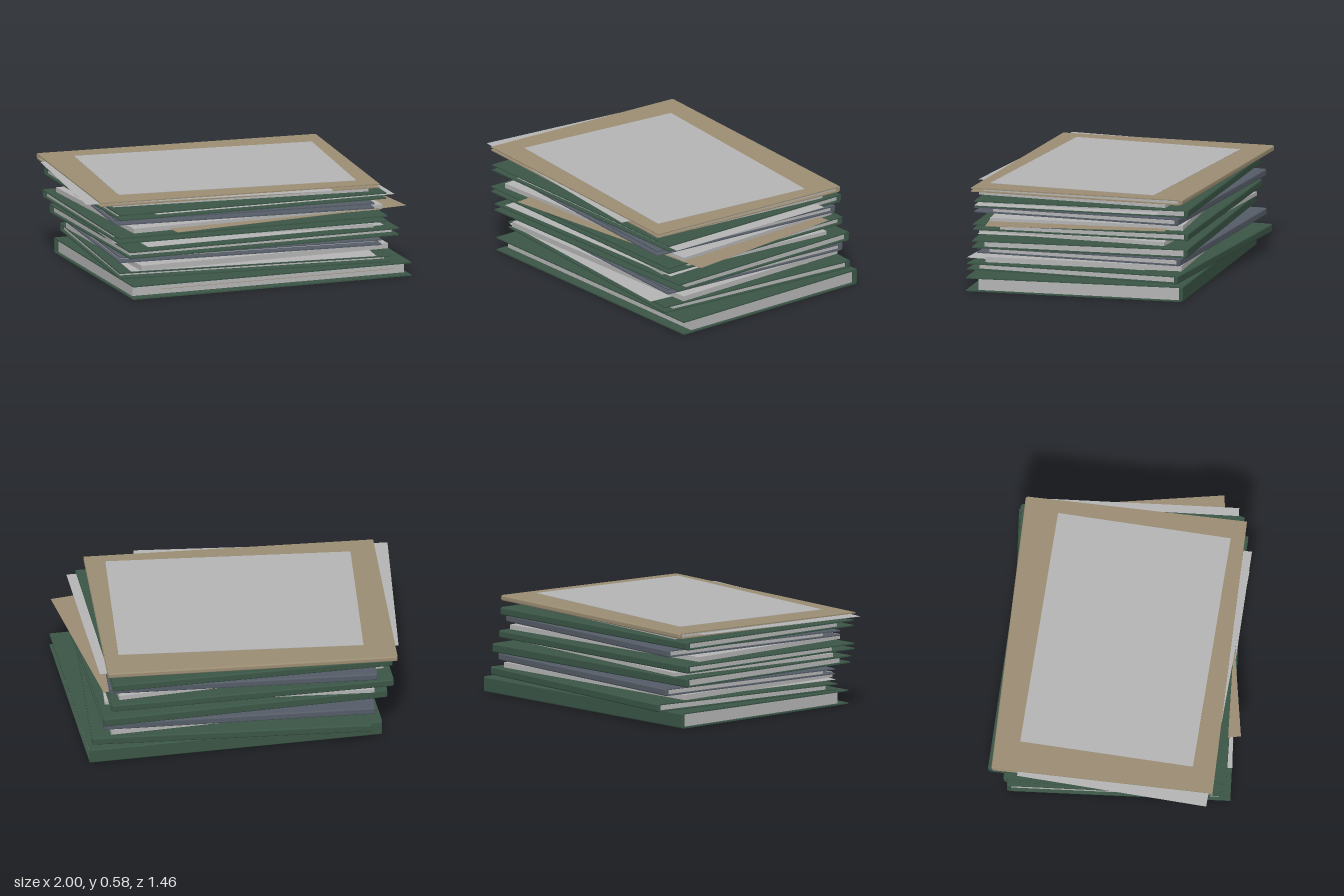
import * as THREE from 'three';
import { RoundedBoxGeometry } from 'three/addons/geometries/RoundedBoxGeometry.js';

const mat = (name, color) => new THREE.MeshStandardMaterial({ name, color });

export function createModel() {
  const green = mat('green board', 0x3a5546);
  const slate = mat('slate board', 0x555c67);
  const tan = mat('tan card', 0x9b8d73);
  const paper = mat('grey paper', 0xb4b4b4);

  const model = new THREE.Group();
  model.name = 'documentStack';

  const add = (parent, name, geometry, material, x, y, z) => {
    const mesh = new THREE.Mesh(geometry, material);
    mesh.name = name;
    mesh.position.set(x, y, z);
    parent.add(mesh);
    return mesh;
  };
  const box = (w, h, d) => new THREE.BoxGeometry(w, h, d);

  // Folder: two covers, a rounded spine at the back and a block of pages
  const folder = (name, material, y0, y1, w, d, x, z, turn, recess = 0.07) => {
    const group = new THREE.Group();
    group.name = name;
    group.position.set(x, 0, z);
    group.rotation.y = turn;
    const t = 0.007, h = y1 - y0, spine = 0.025;
    add(group, 'bottomCover', box(w, t, d - 0.012), material, 0, y0 + t / 2, 0.006);
    const top = add(group, 'topCover', box(w, t, d - 0.012), material, 0, y1 - t / 2 - 0.004, 0.006);
    top.rotation.x = 0.006; // the cover sags towards its open edge
    add(group, 'spine', new RoundedBoxGeometry(w, h, spine, 2, 0.009), material,
      0, y0 + h / 2, -d / 2 + spine / 2);
    const pageDepth = d - recess - spine + 0.005, pageHeight = h - 2 * t - 0.006;
    add(group, 'pages', box(w - 0.04, pageHeight, pageDepth), paper,
      0, y0 + t + pageHeight / 2, (spine - 0.005 - recess) / 2);
    model.add(group);
  };

  // Loose bundle of pages
  const bundle = (name, y0, y1, w, d, x, z, turn) => {
    add(model, name, box(w, y1 - y0, d), paper, x, (y0 + y1) / 2, z).rotation.y = turn;
  };

  // Single sheet sticking out of the stack
  const sheet = (name, material, y, w, d, x, z, turn) => {
    add(model, name, box(w, 0.002, d), material, x, y, z).rotation.y = turn;
  };

  // The stack, from bottom to top
  folder('thickBinder', green, 0, 0.09, 1.736, 1.306, 0.096, 0.007, 0.034);
  folder('greenFolderLow', green, 0.1, 0.147, 1.64, 1.305, 0.065, -0.035, -0.058);
  bundle('pageBundleLow', 0.155, 0.186, 1.55, 1.175, 0.065, 0, 0.053);
  folder('slateFolderLow', slate, 0.194, 0.236, 1.595, 1.25, 0.035, -0.04, -0.037);
  folder('greenFolderMiddle', green, 0.245, 0.297, 1.685, 1.295, 0.045, 0.005, 0.045);
  bundle('pageBundleMiddle', 0.305, 0.327, 1.58, 1.15, 0.007, -0.008, -0.065);
  folder('greenFolderUpper', green, 0.336, 0.38, 1.67, 1.3, -0.01, 0, 0.023, 0.16);
  bundle('pageBundleUpper', 0.387, 0.415, 1.58, 1.15, 0.015, 0.01, 0.075);
  folder('slateFolderUpper', slate, 0.424, 0.465, 1.57, 1.26, 0, -0.02, -0.05, 0.11);
  folder('greenFolderTop', green, 0.472, 0.517, 1.655, 1.29, -0.01, 0, 0.025, 0.11);
  bundle('pageBundleTop', 0.525, 0.542, 1.545, 1.155, -0.01, 0, -0.065);
  folder('tanFolder', tan, 0.55, 0.582, 1.7, 1.3, -0.046, -0.02, -0.037);

  // Loose sheets between the folders
  sheet('dividerCard', tan, 0.035, 1.45, 1.1, 0.155, 0.042, 0.034);
  sheet('looseSheetLow', paper, 0.151, 1.485, 1.1, 0.04, 0.1, -0.06);
  sheet('looseSheetMiddle', paper, 0.312, 1.485, 1.1, 0.05, 0.1, 0.06);
  sheet('looseTanCard', tan, 0.395, 1.5, 1.06, 0.176, 0.096, 0.147);
  sheet('looseSheetUpper', paper, 0.493, 1.485, 1.1, 0.13, 0.08, 0.03);
  sheet('looseSheetLeft', paper, 0.563, 1.485, 1.12, -0.21, 0.077, -0.09);

  // Sheet lying on top
  sheet('topSheet', paper, 0.584, 1.435, 1.02, -0.014, 0.015, -0.073);

  return model;
}
